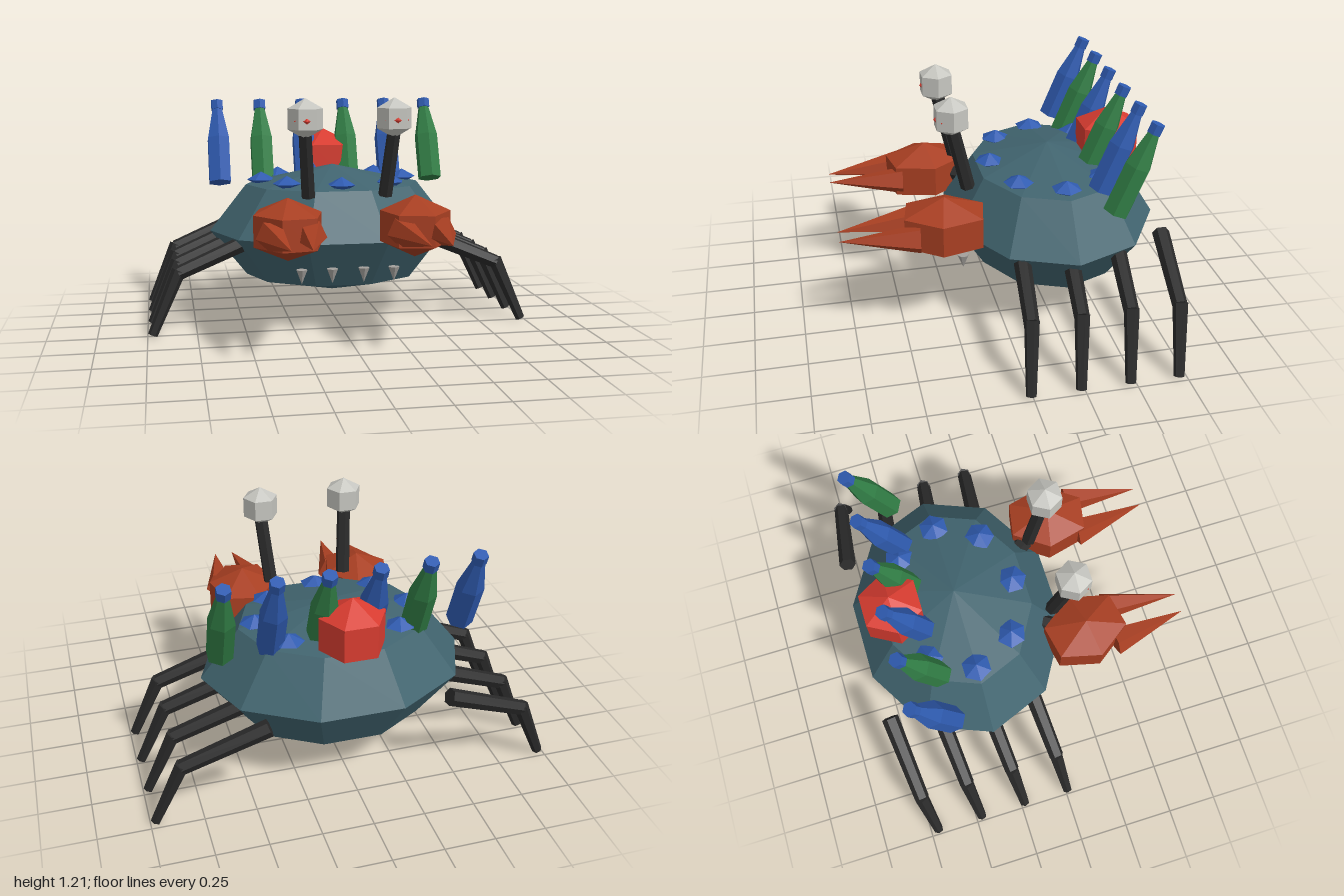
import * as THREE from 'three';

const material = (name, color) => {
  const m = new THREE.MeshStandardMaterial({ color, flatShading: true });
  m.name = name;
  return m;
};

export function createModel() {
  const model = new THREE.Group();
  model.name = 'crab';
  const shellTeal = material('shell teal', 0x41646f);
  const clawRust = material('claw rust', 0xa83f22);
  const red = material('bright red', 0xd83c30);
  const blue = material('bottle blue', 0x2f5bb0);
  const green = material('bottle green', 0x317d45);
  const black = material('leg black', 0x2a2a2a);
  const pale = material('eye grey', 0xc6c6c0);
  const toothGrey = material('tooth grey', 0xa3a09c);

  const add = (parent, name, geometry, mat, x = 0, y = 0, z = 0) => {
    const mesh = new THREE.Mesh(geometry, mat);
    mesh.name = name;
    mesh.position.set(x, y, z);
    parent.add(mesh);
    return mesh;
  };
  // Tapered rod from point a to point b
  const rod = (parent, name, a, b, ra, rb, sides, mat) => {
    const from = new THREE.Vector3(...a), to = new THREE.Vector3(...b);
    const dir = to.clone().sub(from);
    const geo = rb === 0
      ? new THREE.ConeGeometry(ra, dir.length(), sides)
      : new THREE.CylinderGeometry(rb, ra, dir.length(), sides);
    const mesh = add(parent, name, geo, mat);
    mesh.position.copy(from).add(to).multiplyScalar(0.5);
    mesh.quaternion.setFromUnitVectors(new THREE.Vector3(0, 1, 0), dir.normalize());
    return mesh;
  };

  // Shell
  add(model, 'shell', new THREE.SphereGeometry(1, 10, 4), shellTeal, 0, 0.487, -0.3)
    .scale.set(0.66, 0.345, 0.536);

  // Ring of barnacles around the top of the shell
  for (let i = 0; i < 8; i++) {
    const a = (i / 8) * Math.PI * 2;
    const b = add(model, 'barnacle', new THREE.SphereGeometry(0.075, 6, 2), blue,
      Math.sin(a) * 0.385, 0.757, -0.3 + Math.cos(a) * 0.3);
    b.scale.y = 0.55;
    b.rotation.y = a + Math.PI / 2;
  }

  // Red lump at the back
  add(model, 'backLump', new THREE.SphereGeometry(0.185, 6, 3), red, 0, 0.833, -0.615)
    .scale.y = 0.9;

  // Row of leaning bottles
  for (let i = 0; i < 6; i++) {
    const bottle = new THREE.Group();
    bottle.name = 'bottle';
    const glass = i % 2 ? green : blue;
    add(bottle, 'bottleBody', new THREE.CylinderGeometry(0.066, 0.066, 0.25, 6), glass, 0, 0.125, 0);
    add(bottle, 'bottleNeck', new THREE.CylinderGeometry(0.03, 0.066, 0.17, 6), glass, 0, 0.335, 0);
    add(bottle, 'bottleCap', new THREE.CylinderGeometry(0.036, 0.036, 0.05, 6), blue, 0, 0.445, 0);
    bottle.position.set((i - 2.5) * 0.237, 0.72, -0.48);
    bottle.rotation.x = -0.39;
    model.add(bottle);
  }

  // Teeth under the front edge
  for (const x of [-0.235, -0.08, 0.08, 0.235])
    rod(model, 'tooth', [x, 0.36, 0.185], [x, 0.285, 0.185], 0.03, 0, 6, toothGrey);

  for (const s of [-1, 1]) {
    // Eyes on stalks
    rod(model, 'eyeStalk', [s * 0.195, 0.72, 0.15], [s * 0.22, 1.04, 0.225], 0.036, 0.034, 6, black);
    add(model, 'eyeball', new THREE.SphereGeometry(0.1, 6, 3), pale, s * 0.22, 1.113, 0.232);
    add(model, 'pupil', new THREE.OctahedronGeometry(1), red, s * 0.222, 1.105, 0.285)
      .scale.set(0.06, 0.045, 0.032);

    // Claws with two converging pincers
    rod(model, 'clawArm', [s * 0.18, 0.585, 0.05], [s * 0.28, 0.59, 0.2], 0.045, 0.045, 6, black);
    const palm = add(model, 'clawPalm', new THREE.SphereGeometry(1, 6, 3), clawRust, s * 0.316, 0.585, 0.29);
    palm.scale.set(0.2, 0.155, 0.25);
    palm.rotation.y = -s * 0.19;
    rod(model, 'innerPincer', [s * 0.218, 0.58, 0.42], [s * 0.268, 0.58, 0.805], 0.075, 0, 5, clawRust);
    rod(model, 'outerPincer', [s * 0.412, 0.58, 0.42], [s * 0.363, 0.58, 0.805], 0.075, 0, 5, clawRust);

    // Four jointed legs per side
    for (let i = 0; i < 4; i++) {
      const z = -0.24 * i;
      rod(model, 'upperLeg', [s * 0.435, 0.487, z - 0.06], [s * 0.84, 0.32, z - 0.02], 0.043, 0.037, 6, black);
      rod(model, 'lowerLeg', [s * 0.835, 0.335, z - 0.022], [s * 0.975, 0.012, z + 0.01], 0.037, 0.025, 6, black);
    }
  }
  return model;
}
